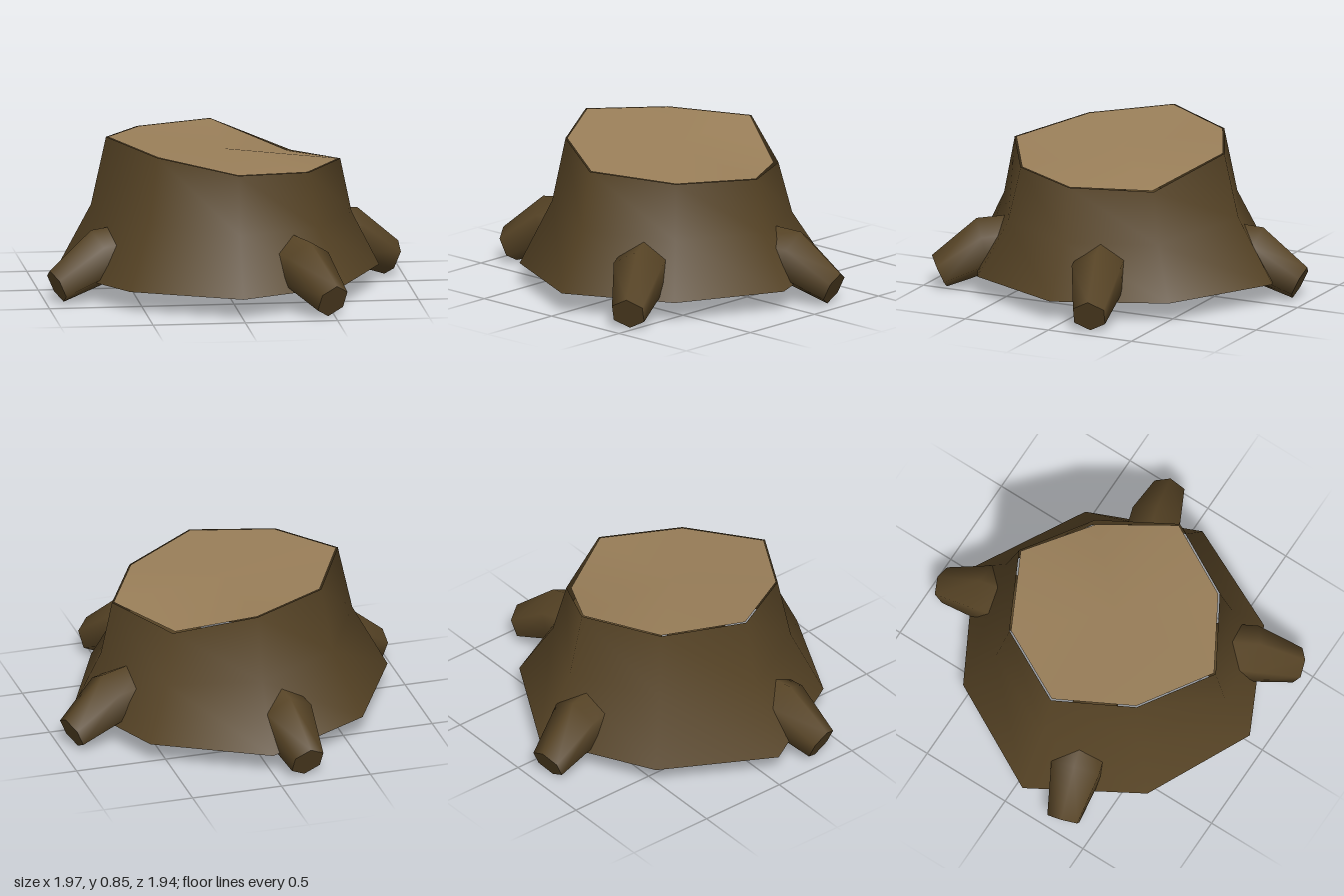
import * as THREE from 'three';

// Closed-ring loft with smooth sides; optional flat end caps with their own vertices
function loft(rings, capEnds = false) {
  const n = rings[0].length;
  const pos = rings.flat(2);
  const idx = [];
  for (let k = 0; k < rings.length - 1; k++) {
    for (let i = 0; i < n; i++) {
      const j = (i + 1) % n;
      const a = k * n + i, b = k * n + j, c = a + n, d = b + n;
      idx.push(a, b, c, c, b, d);
    }
  }
  if (capEnds) {
    [rings[0], rings[rings.length - 1]].forEach((ring, e) => {
      const s = pos.length / 3;
      pos.push(...ring.flat());
      for (let i = 1; i < n - 1; i++) idx.push(s, e ? s + i : s + i + 1, e ? s + i + 1 : s + i);
    });
  }
  return build(pos, idx);
}

function build(pos, idx) {
  const g = new THREE.BufferGeometry();
  g.setAttribute('position', new THREE.Float32BufferAttribute(pos, 3));
  g.setIndex(idx);
  g.computeVertexNormals();
  return g;
}

export function createModel() {
  const group = new THREE.Group();
  const bark = new THREE.MeshStandardMaterial({ color: 0x564325, side: THREE.DoubleSide });
  bark.name = 'bark';
  const wood = new THREE.MeshStandardMaterial({ color: 0x9a7f59, side: THREE.DoubleSide });
  wood.name = 'cut wood';
  const add = (name, geometry, material) => {
    const mesh = new THREE.Mesh(geometry, material);
    mesh.name = name;
    group.add(mesh);
    return mesh;
  };

  // Trunk: slanted, notched top rim flaring to an open base
  const top = [
    [0, 0.81, -0.56], [0.41, 0.67, -0.34], [0.63, 0.7, 0.06], [0.41, 0.71, 0.46],
    [0, 0.75, 0.7], [-0.41, 0.81, 0.46], [-0.64, 0.85, 0.06], [-0.42, 0.82, -0.35],
  ];
  const base = [
    [0, -0.85], [0.59, -0.52], [0.84, 0.07], [0.57, 0.64],
    [0, 0.92], [-0.58, 0.64], [-0.92, 0.06], [-0.6, -0.53],
  ].map(([x, z]) => [x, 0.115, z]);
  const middle = top.map((p, i) => p.map((v, c) => v + (base[i][c] - v) * (c === 1 ? 0.5 : 0.29)));
  add('trunk', loft([top, middle, base]), bark);

  // Cut face: slightly inset from the rim
  const center = [0, 0.77, 0.06];
  const rim = top.map(([x, y, z], i) => {
    const s = i === 1 ? 0.955 : 0.985;
    return [x * s, y, 0.06 + (z - 0.06) * s];
  });
  const fan = [];
  for (let i = 0; i < 8; i++) fan.push(0, 1 + (i + 1) % 8, 1 + i);
  add('cutFace', build([center, ...rim].flat(), fan), wood);

  // Roots: six-sided spindles, each station is [reach, height, radius, lean]
  const stations = [
    [0.12, 0.29, 0.09, 0], [0.45, 0.27, 0.145, 0.1], [0.74, 0.235, 0.155, 0.26], [0.98, 0.093, 0.097, 0.43],
  ];
  const rings = stations.map(([x, y, r, lean]) => Array.from({ length: 6 }, (_, i) => {
    const a = i * Math.PI / 3;
    const up = r * Math.cos(a);
    return [x + up * Math.sin(lean), y + up * Math.cos(lean), r * Math.sin(a)];
  }));
  const rootGeometry = loft(rings, true);
  const directions = {
    frontRoot: [0.5, 0.88], backRoot: [-0.17, -1], leftRoot: [0.94, -0.275], rightRoot: [-0.94, 0.275],
  };
  for (const [name, [dx, dz]] of Object.entries(directions)) {
    const root = add(name, rootGeometry, bark);
    root.position.z = 0.06;
    root.rotation.y = Math.atan2(-dz, dx);
    const reach = name === 'backRoot' ? 1.025 : 1;
    root.scale.x = reach;
  }
  return group;
}
